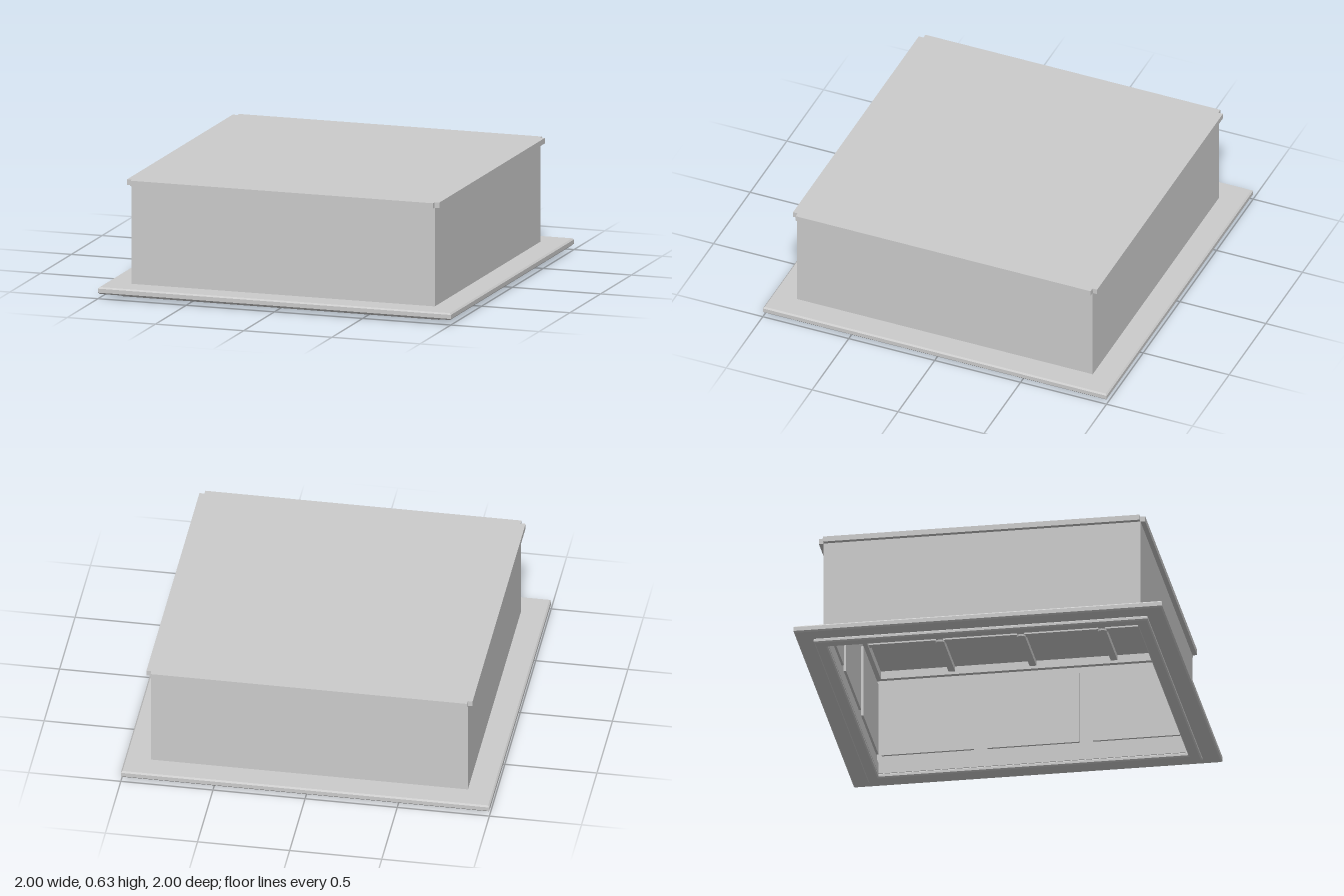
import * as THREE from 'three';

const mat = new THREE.MeshStandardMaterial({ color: 0xcccccc, flatShading: true });

function add(parent, name, geometry, x = 0, y = 0, z = 0) {
  const mesh = new THREE.Mesh(geometry, mat);
  mesh.name = name;
  mesh.position.set(x, y, z);
  parent.add(mesh);
  return mesh;
}

// Square outline; a notch cuts a small square out of each corner
function square(half, notch = 0, Type = THREE.Shape) {
  const h = half, n = half - notch;
  const pts = notch
    ? [[n, -h], [n, -n], [h, -n], [h, n], [n, n], [n, h], [-n, h], [-n, n], [-h, n], [-h, -n], [-n, -n], [-n, -h]]
    : [[h, -h], [h, h], [-h, h], [-h, -h]];
  return new Type(pts.map(([x, y]) => new THREE.Vector2(x, y)));
}

// Horizontal square slab or ring from y0 to y1, with optional bevelled edges
function slab(outer, inner, y0, y1, bevel = 0, notch = 0) {
  const shape = square(outer - bevel, notch);
  if (inner) shape.holes.push(square(inner + bevel, 0, THREE.Path));
  const g = new THREE.ExtrudeGeometry(shape, {
    depth: y1 - y0 - 2 * bevel, bevelEnabled: bevel > 0,
    bevelSize: bevel, bevelThickness: bevel, bevelSegments: 1,
  });
  g.rotateX(-Math.PI / 2);
  g.translate(0, y0 + bevel, 0);
  return g;
}

export function createModel() {
  const model = new THREE.Group();
  model.name = 'cofferedCeilingBox';

  // Trim around the opening
  add(model, 'baseFlange', slab(1, 0.85, 0.025, 0.063, 0.008));
  add(model, 'lowerMoulding', slab(0.905, 0.84, 0, 0.027, 0.007));

  // Shell and top
  add(model, 'wallShell', slab(0.86, 0.85, 0.03, 0.62));
  add(model, 'topRim', slab(0.885, 0.85, 0.603, 0.622, 0, 0.027));
  add(model, 'topPlate', slab(0.885, 0, 0.62, 0.633, 0, 0.027));

  // Inner skirting and cornice
  add(model, 'skirting', slab(0.852, 0.84, 0.025, 0.085));
  add(model, 'cornice', slab(0.852, 0.825, 0.575, 0.621));

  // Three raised panels on each inner wall
  for (let side = 0; side < 4; side++) {
    const wall = new THREE.Group();
    wall.name = 'wallPanels';
    wall.rotation.y = side * Math.PI / 2;
    for (let i = -1; i <= 1; i++) {
      add(wall, 'wallPanel', new THREE.BoxGeometry(0.5, 0.41, 0.014), i * 0.573, 0.335, -0.844);
    }
    model.add(wall);
  }

  // Ceiling beams in both directions, with a boss at every crossing
  const lines = [-0.44, 0, 0.44];
  for (const p of lines) {
    add(model, 'ceilingBeam', new THREE.BoxGeometry(1.68, 0.03, 0.036), 0, 0.606, p);
    add(model, 'ceilingBeam', new THREE.BoxGeometry(0.036, 0.03, 1.68), p, 0.606, 0);
    for (const q of lines) {
      add(model, 'ceilingBoss', new THREE.CylinderGeometry(0.032, 0.024, 0.04, 12), p, 0.601, q);
    }
  }
  return model;
}
